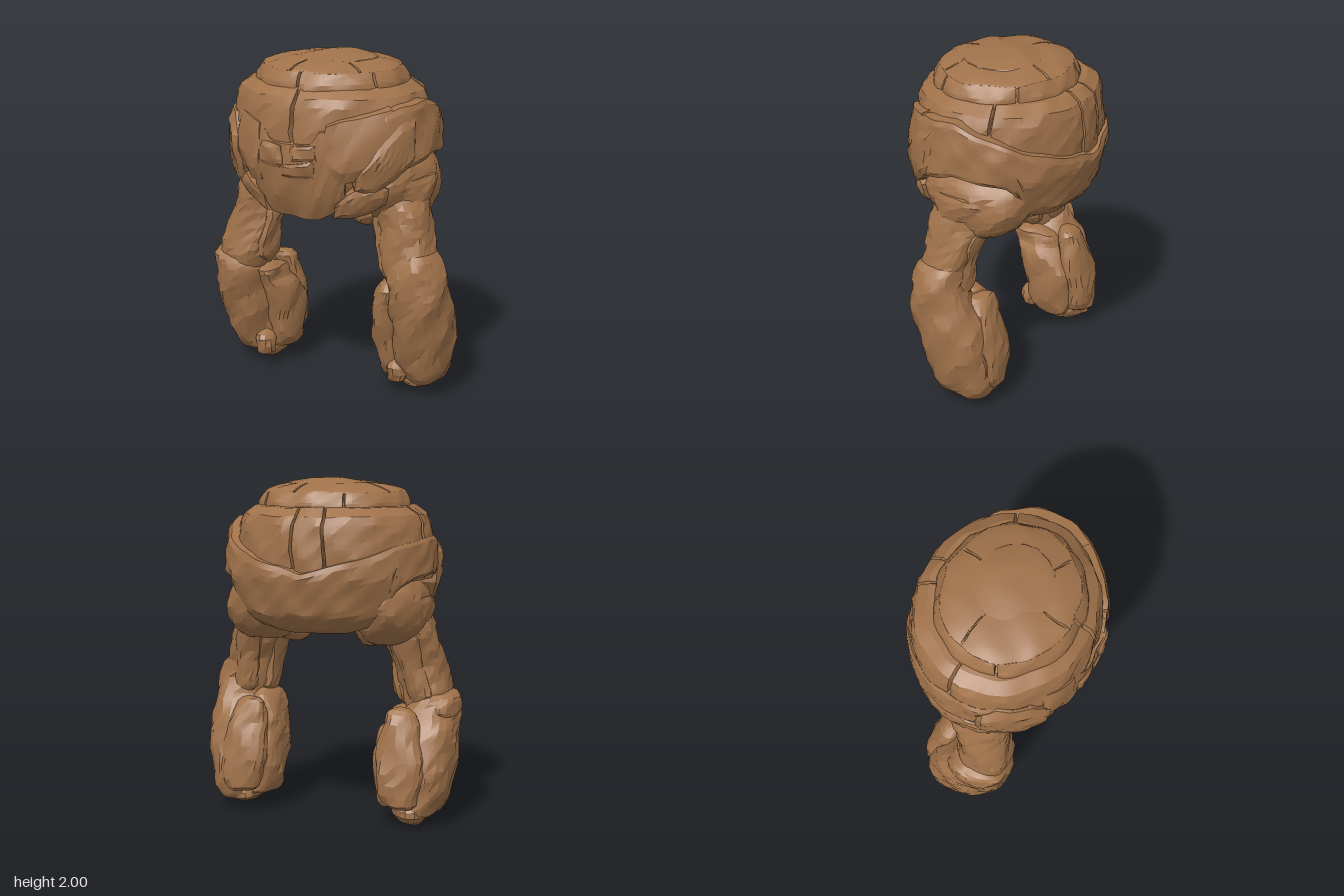
import * as THREE from 'three';
import { toCreasedNormals } from 'three/addons/utils/BufferGeometryUtils.js';

const clay = new THREE.MeshStandardMaterial({ color: 0xa0724a, side: THREE.DoubleSide });
clay.name = 'brown clay';
const { clamp, lerp, degToRad } = THREE.MathUtils;

// Gentle hewn-stone unevenness that depends only on position
function rough(p, amount) {
  const { x, y, z } = p;
  p.x += amount * (Math.sin(y * 19 + z * 23 + x * 5) + 0.5 * Math.sin(y * 47 - z * 41));
  p.y += amount * 0.6 * Math.sin(x * 21 + z * 17 + 2);
  p.z += amount * (Math.sin(x * 24 - y * 18 + 1) + 0.5 * Math.sin(x * 43 + y * 51));
  return p;
}

// Surface grid: i runs around the model, j runs upward
function grid(name, n, m, point, amount = 0.006) {
  const pos = [], index = [];
  for (let j = 0; j <= m; j++)
    for (let i = 0; i <= n; i++) pos.push(...rough(point(i, j), amount).toArray());
  for (let j = 0; j < m; j++)
    for (let i = 0; i < n; i++) {
      const a = j * (n + 1) + i, b = a + n + 1;
      index.push(a, a + 1, b + 1, a, b + 1, b);
    }
  const geo = new THREE.BufferGeometry();
  geo.setAttribute('position', new THREE.Float32BufferAttribute(pos, 3));
  geo.setIndex(index);
  const mesh = new THREE.Mesh(toCreasedNormals(geo, 0.3), clay);
  mesh.name = name;
  return mesh;
}

// Closed boulder through sections [y, centre x, centre z, radius x, radius z], bottom to top
function loft(name, sections, { side = 1, n = 22, m = 20, power = 0.85, amount = 0.008 } = {}) {
  const centre = new THREE.CatmullRomCurve3(
    sections.map(([y, x, z]) => new THREE.Vector3(x * side, y, z)), false, 'catmullrom', 0.4);
  const radius = new THREE.CatmullRomCurve3(
    sections.map((s) => new THREE.Vector3(s[3], 0, s[4])), false, 'catmullrom', 0.4);
  const square = (v) => Math.sign(v) * Math.abs(v) ** power;
  return grid(name, n, m, (i, j) => {
    const c = centre.getPoint(j / m), r = radius.getPoint(j / m);
    const a = ((i % n) / n) * Math.PI * 2;
    return new THREE.Vector3(c.x + Math.max(r.x, 0) * square(Math.sin(a)), c.y,
      c.z + Math.max(r.z, 0) * square(Math.cos(a)));
  }, amount);
}

// Piecewise linear lookup in rows [key, ...values]
function lookup(rows, k) {
  let i = 0;
  while (i < rows.length - 2 && k > rows[i + 1][0]) i++;
  const t = clamp((k - rows[i][0]) / (rows[i + 1][0] - rows[i][0]), 0, 1);
  return rows[i].slice(1).map((v, q) => lerp(v, rows[i + 1][q + 1], t));
}

// Curved slab wrapped on a profile; outline rows are [angle, low y, high y]
function plate(name, outline, profile, out, n = 10, m = 7) {
  const first = outline[0][0], last = outline[outline.length - 1][0];
  return grid(name, n, m, (i, j) => {
    const u = clamp((i - 0.8) / (n - 1.6), 0, 1), v = clamp((j - 0.8) / (m - 1.6), 0, 1);
    const off = [-0.06, out * 0.55, out][Math.min(i, n - i, j, m - j, 2)];
    const deg = lerp(first, last, u), [lo, hi] = lookup(outline, deg);
    const y = lerp(lo, hi, v), [rx, rz] = lookup(profile, y), a = degToRad(deg);
    return new THREE.Vector3(Math.sin(a) * Math.max(rx + off, 0), y, Math.cos(a) * Math.max(rz + off, 0));
  });
}
const mirrored = (outline) => outline.map(([a, lo, hi]) => [-a, lo, hi]).reverse();

// Radii [y, x, z] of the outer band, its curled-under rear, the upper shell and the cap
const bandR = [[1.08, 0.47, 0.42], [1.25, 0.56, 0.49], [1.45, 0.61, 0.53], [1.6, 0.6, 0.525], [1.78, 0.57, 0.5]];
const rearR = [[1.11, 0.36, 0.31], [1.16, 0.46, 0.4], [1.24, 0.54, 0.475], ...bandR.slice(2)];
const shellR = [[1.4, 0.58, 0.5], [1.6, 0.575, 0.51], [1.74, 0.555, 0.495], [1.815, 0.515, 0.465], [1.85, 0.44, 0.4]];
const capR = [[1.78, 0.45, 0.41], [1.86, 0.44, 0.4], [1.925, 0.405, 0.365], [1.95, 0.34, 0.31], [1.97, 0.24, 0.22], [1.985, 0.1, 0.1]];

function body() {
  const g = new THREE.Group();
  g.name = 'body';
  g.add(loft('bodyCore', [[1.14, 0, 0, 0, 0], [1.14, 0, 0, 0.32, 0.28], [1.25, 0, 0, 0.46, 0.41],
    [1.45, 0, 0, 0.54, 0.47], [1.65, 0, 0, 0.53, 0.46], [1.8, -0.02, 0, 0.46, 0.4],
    [1.9, -0.02, 0.02, 0.36, 0.32], [1.955, -0.02, 0.02, 0.22, 0.2], [1.97, 0, 0, 0, 0]],
  { n: 40, m: 28, power: 1 }));

  // Upper shell slabs, set a little off centre
  const slabs = (parent, name, angles, lo, hi, profile, out, m) => angles.slice(0, -1).forEach((a, i) =>
    parent.add(plate(name, [[a, lo, hi], [angles[i + 1], lo, hi]], profile, out, Math.ceil((angles[i + 1] - a) / 7) + 4, m)));
  const shell = new THREE.Group();
  shell.name = 'shell';
  shell.position.x = -0.025;
  slabs(shell, 'upperShell', [-100, 3, 110, 172, 190, 260], 1.42, 1.85, shellR, 0.012, 11);

  // Cap ring and crown
  const cap = new THREE.Group();
  cap.name = 'cap';
  cap.position.set(-0.015, 0, 0.02);
  slabs(cap, 'capRing', [-75, 0, 62, 130, 205, 285], 1.8, 1.93, capR, 0.008, 8);
  slabs(cap, 'crown', [-110, -10, 50, 160, 250], 1.92, 1.98, capR, 0.008, 9);
  cap.add(loft('crownCentre', [[1.94, 0.03, 0, 0.26, 0.24], [1.97, 0.03, 0, 0.24, 0.22], [1.985, 0.04, -0.02, 0.17, 0.15],
    [1.997, 0.05, -0.03, 0.1, 0.09], [1.998, 0.06, -0.03, 0, 0]], { n: 18, m: 8, power: 1, amount: 0.004 }));
  g.add(shell, cap);

  // Rear band, arched over both shoulders and dipping at the back
  g.add(plate('rearBand', [[50, 1.3, 1.72], [66, 1.4, 1.76], [90, 1.46, 1.77], [112, 1.44, 1.7],
    [126, 1.39, 1.65], [133, 1.17, 1.62], [150, 1.13, 1.57], [180, 1.12, 1.49], [210, 1.13, 1.57], [227, 1.17, 1.62],
    [234, 1.39, 1.64], [248, 1.44, 1.66], [270, 1.46, 1.67], [294, 1.4, 1.67], [310, 1.3, 1.66]], rearR, 0.025, 60, 14));

  // Front chest slab and brow panels
  g.add(plate('chest', [[-30, 1.2, 1.62], [-20, 1.1, 1.66], [-14, 1.09, 1.6], [-12, 1.09, 1.56], [14, 1.09, 1.56],
    [16, 1.09, 1.63], [24, 1.13, 1.65], [32, 1.22, 1.66]], bandR, 0.012, 24, 9));
  g.add(plate('browPanel', [[-43, 1.36, 1.69], [-32, 1.28, 1.69], [-20, 1.3, 1.65]], bandR, 0.025));
  g.add(plate('browPanel', [[20, 1.42, 1.66], [28, 1.32, 1.7], [60, 1.4, 1.76]], bandR, 0.025, 12));
  g.add(plate('noseBlock', [[-20, 1.42, 1.55], [-13, 1.39, 1.55], [-4, 1.4, 1.54]], bandR, 0.026, 8, 7));
  g.add(plate('noseBlock', [[-6, 1.36, 1.43], [14, 1.35, 1.46]], bandR, 0.026, 9, 7));
  g.add(plate('noseBlock', [[1, 1.45, 1.54], [16, 1.46, 1.55]], bandR, 0.028, 8, 7));

  // Cheek slabs beside the face, and low corner slabs
  g.add(plate('cheek', [[-82, 1.4, 1.6], [-70, 1.24, 1.68], [-48, 1.19, 1.66], [-38, 1.36, 1.52]], bandR, 0.05, 14, 9));
  g.add(plate('cheek', [[36, 1.3, 1.38], [48, 1.27, 1.55], [62, 1.36, 1.68], [74, 1.46, 1.7]], bandR, 0.04, 14, 9));
  const corner = [[24, 1.11, 1.2], [36, 1.11, 1.3], [50, 1.14, 1.34], [58, 1.2, 1.3]];
  g.add(plate('lowerCorner', corner, bandR, 0.03), plate('lowerCorner', mirrored(corner), bandR, 0.03));
  return g;
}

function arm(side) {
  const g = new THREE.Group(), left = side > 0;
  g.name = left ? 'leftArm' : 'rightArm';
  const add = (name, sections, options) => g.add(loft(name, sections, { side, ...options }));
  // Shoulder ball with a raised rim, and the lumps beneath the body
  add('shoulder', [[1.04, 0.38, -0.03, 0, 0], [1.06, 0.38, -0.03, 0.13, 0.15], [1.14, 0.39, -0.04, 0.19, 0.26],
    [1.25, 0.4, -0.04, 0.2, 0.32], [1.36, 0.4, -0.04, 0.18, 0.31], [1.44, 0.38, -0.03, 0.13, 0.23], [1.46, 0.38, 0, 0, 0]],
  { n: 26, power: 0.95 });
  add('shoulderRim', [[1.13, 0.47, 0.02, 0, 0], [1.14, 0.47, 0.02, 0.11, 0.15], [1.22, 0.47, 0, 0.14, 0.21],
    [1.32, 0.46, -0.02, 0.14, 0.22], [1.36, 0.45, -0.02, 0, 0]], { n: 22, m: 12, power: 0.95 });
  add('shoulderLump', [[1.01, 0.24, 0.06, 0, 0], [1.03, 0.25, 0.06, 0.07, 0.08], [1.1, 0.27, 0.05, 0.12, 0.14],
    [1.2, 0.3, 0.03, 0.1, 0.14], [1.24, 0.3, 0, 0, 0]], { n: 14, m: 10 });
  // Upper arm
  add('upperArm', [[0.62, 0.58, 0.1, 0.13, 0.14], [0.75, 0.56, 0.115, 0.155, 0.155], [0.9, 0.53, 0.095, 0.155, 0.145],
    [1.05, 0.49, 0.06, 0.155, 0.16], [1.17, 0.465, 0.045, 0.145, 0.18], [1.28, 0.44, 0.03, 0.11, 0.14], [1.32, 0.43, 0.02, 0, 0]]);
  add('armRidge', [[0.66, 0.43, 0.08, 0, 0], [0.74, 0.43, 0.1, 0.05, 0.1], [0.92, 0.4, 0.1, 0.055, 0.09],
    [1.1, 0.36, 0.08, 0.06, 0.09], [1.14, 0.36, 0.06, 0, 0]], { n: 12, m: 12 });
  add('rearRidge', [[0.66, 0.55, -0.03, 0, 0], [0.74, 0.55, -0.01, 0.08, 0.05], [0.9, 0.52, -0.02, 0.07, 0.05],
    [1.08, 0.48, -0.08, 0.09, 0.05], [1.18, 0.46, -0.11, 0, 0]], { n: 12, m: 12 });
  // The left hand is slimmer and flows into the arm; the right one ends in an elbow knob
  if (left) {
    add('forearm', [[0.06, 0.58, -0.06, 0, 0], [0.07, 0.58, -0.06, 0.09, 0.13], [0.17, 0.58, -0.035, 0.15, 0.185],
      [0.35, 0.595, 0.005, 0.17, 0.205], [0.52, 0.6, 0.045, 0.17, 0.215], [0.65, 0.6, 0.095, 0.165, 0.185],
      [0.78, 0.6, 0.115, 0.155, 0.155], [0.9, 0.56, 0.1, 0.13, 0.13], [0.96, 0.54, 0.09, 0, 0]], { m: 24 });
    add('innerHand', [[0.09, 0.42, -0.04, 0, 0], [0.1, 0.42, -0.04, 0.07, 0.11], [0.2, 0.4, -0.02, 0.09, 0.15],
      [0.4, 0.39, 0.02, 0.09, 0.17], [0.55, 0.4, 0.05, 0.085, 0.16], [0.68, 0.43, 0.08, 0.075, 0.14], [0.78, 0.46, 0.09, 0, 0]]);
  } else {
    add('forearm', [[0.06, 0.58, -0.08, 0, 0], [0.07, 0.58, -0.08, 0.1, 0.15], [0.17, 0.585, -0.06, 0.155, 0.2],
      [0.35, 0.6, -0.02, 0.17, 0.23], [0.52, 0.6, 0.03, 0.17, 0.235], [0.65, 0.6, 0.09, 0.165, 0.195],
      [0.74, 0.63, 0.11, 0.125, 0.15], [0.79, 0.63, 0.11, 0, 0]], { m: 24 });
    add('elbowKnob', [[0.58, 0.69, 0.06, 0, 0], [0.64, 0.695, 0.06, 0.075, 0.14], [0.73, 0.69, 0.06, 0.07, 0.11],
      [0.77, 0.68, 0.06, 0, 0]], { n: 14, m: 10 });
    add('innerHand', [[0.09, 0.42, -0.09, 0, 0], [0.1, 0.42, -0.09, 0.07, 0.1], [0.2, 0.4, -0.08, 0.09, 0.14],
      [0.4, 0.39, -0.05, 0.09, 0.16], [0.52, 0.4, -0.01, 0.085, 0.15], [0.57, 0.43, 0.03, 0.075, 0.14],
      [0.64, 0.44, 0.06, 0.075, 0.13], [0.68, 0.46, 0.07, 0, 0]]);
  }
  // Rear slab and knuckles
  const back = left ? 0.07 : 0;
  add('rearHand', [[0.12, 0.5, -0.24, 0, 0], [0.14, 0.5, -0.24, 0.1, 0.07], [0.3, 0.5, -0.245, 0.14, 0.075],
    [0.5, 0.49, -0.2, 0.13, 0.075], [0.66, 0.48, -0.16, 0.08, 0.06], [0.69, 0.48, -0.15, 0, 0]]
    .map(([y, x, z, rx, rz]) => [y, x, z + back, rx, rz]), { n: 16, m: 14 });
  const low = left ? 0.035 : 0;
  add('knuckle', [[low, 0.54, -0.1 + back, 0, 0], [low + 0.005, 0.54, -0.1 + back, 0.06, 0.08],
    [0.08, 0.54, -0.13 + back, 0.11, 0.14], [0.2, 0.54, -0.12 + back, 0.08, 0.1]], { n: 14, m: 8 });
  add('knuckle', [[0.07, 0.46, 0.09, 0, 0], [0.08, 0.46, 0.09, 0.05, 0.045], [0.18, 0.46, 0.09, 0.06, 0.065],
    [0.23, 0.46, 0.09, 0, 0]], { n: 10, m: 8 });
  return g;
}

export function createModel() {
  const model = new THREE.Group();
  model.name = 'stoneFigure';
  model.add(body(), arm(1), arm(-1));
  return model;
}
